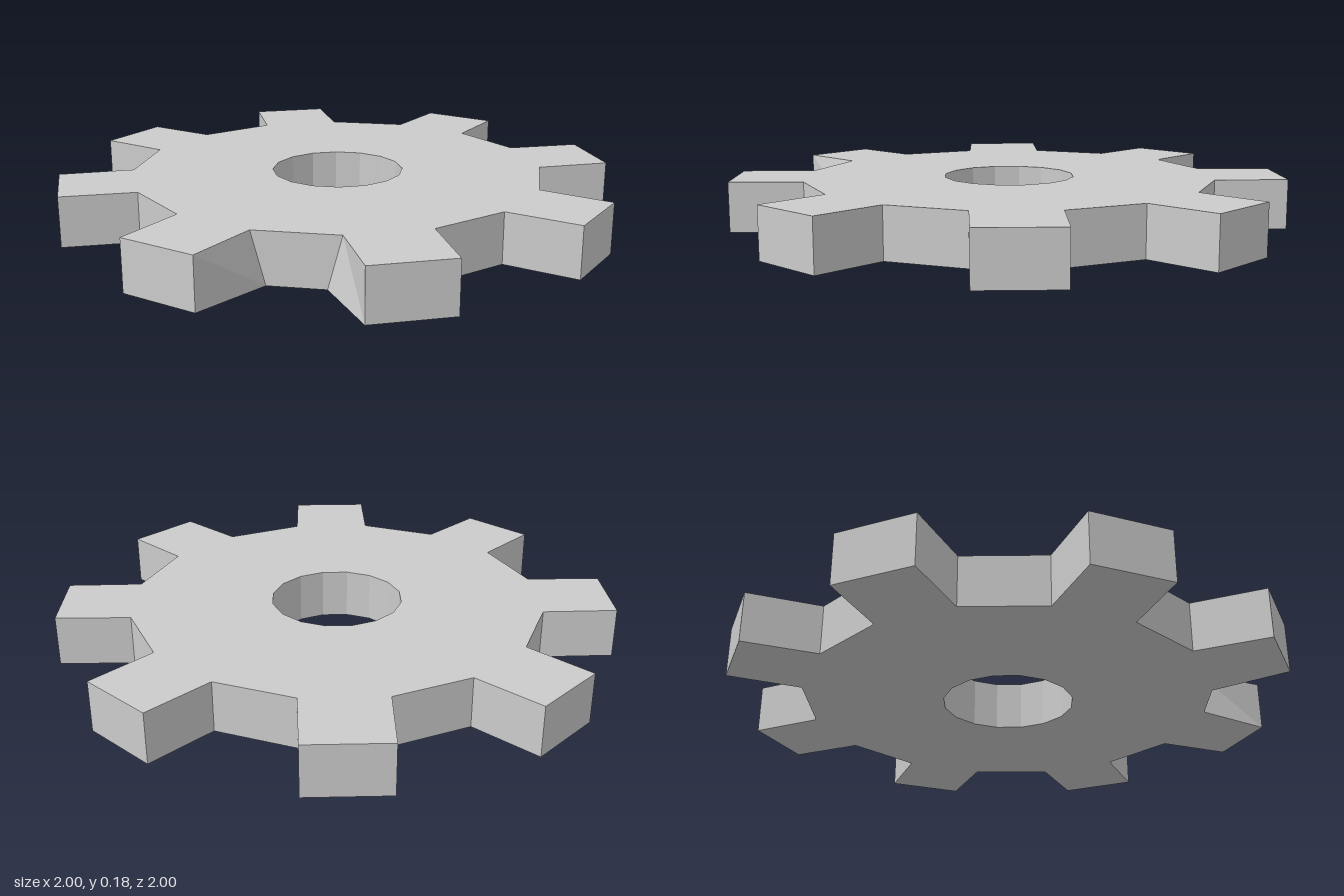
import * as THREE from 'three';

const TEETH = 8;
const HEIGHT = 0.18;
const ROOT_R = 0.741;
const TIP_R = 1.0015;
const TIP_HALF = THREE.MathUtils.degToRad(8.1);
const HOLE_R = 0.236;
const HOLE_SIDES = 16;

const polar = (r, a) => new THREE.Vector2(r * Math.cos(a), r * Math.sin(a));

// Gear outline: every tooth has two root corners and two tip corners
function gearShape() {
  const points = [];
  const pitch = (Math.PI * 2) / TEETH;
  for (let i = 0; i < TEETH; i++) {
    const mid = (i - 0.25) * pitch;
    points.push(
      polar(ROOT_R, mid - pitch / 4),
      polar(TIP_R, mid - TIP_HALF),
      polar(TIP_R, mid + TIP_HALF),
      polar(ROOT_R, mid + pitch / 4),
    );
  }
  const shape = new THREE.Shape(points);

  // Faceted axle hole
  const hole = [];
  for (let i = 0; i < HOLE_SIDES; i++) hole.push(polar(HOLE_R, (-i / HOLE_SIDES) * Math.PI * 2));
  shape.holes.push(new THREE.Path(hole));
  return shape;
}

// One gap narrows toward its underside: its lower root corners slide along the gap wall
function narrowGap(geometry) {
  const a = polar(ROOT_R, Math.PI / 4);
  const b = polar(ROOT_R, (Math.PI * 3) / 8);
  const pos = geometry.attributes.position;
  const p = new THREE.Vector2();
  for (let i = 0; i < pos.count; i++) {
    if (pos.getY(i) > HEIGHT / 2) continue;
    p.set(pos.getX(i), pos.getZ(i));
    if (p.distanceTo(a) < 0.01) p.lerp(b, 0.165);
    else if (p.distanceTo(b) < 0.01) p.lerp(a, 0.165);
    else continue;
    pos.setX(i, p.x);
    pos.setZ(i, p.y);
  }
}

export function createModel() {
  const group = new THREE.Group();
  group.name = 'gear';

  const geometry = new THREE.ExtrudeGeometry(gearShape(), { depth: HEIGHT, bevelEnabled: false });
  geometry.rotateX(Math.PI / 2);
  geometry.translate(0, HEIGHT, 0);
  narrowGap(geometry);
  geometry.computeVertexNormals();

  const wheel = new THREE.Mesh(
    geometry,
    new THREE.MeshStandardMaterial({ color: 0xcccccc, flatShading: true }),
  );
  wheel.name = 'toothedWheel';
  group.add(wheel);
  return group;
}
